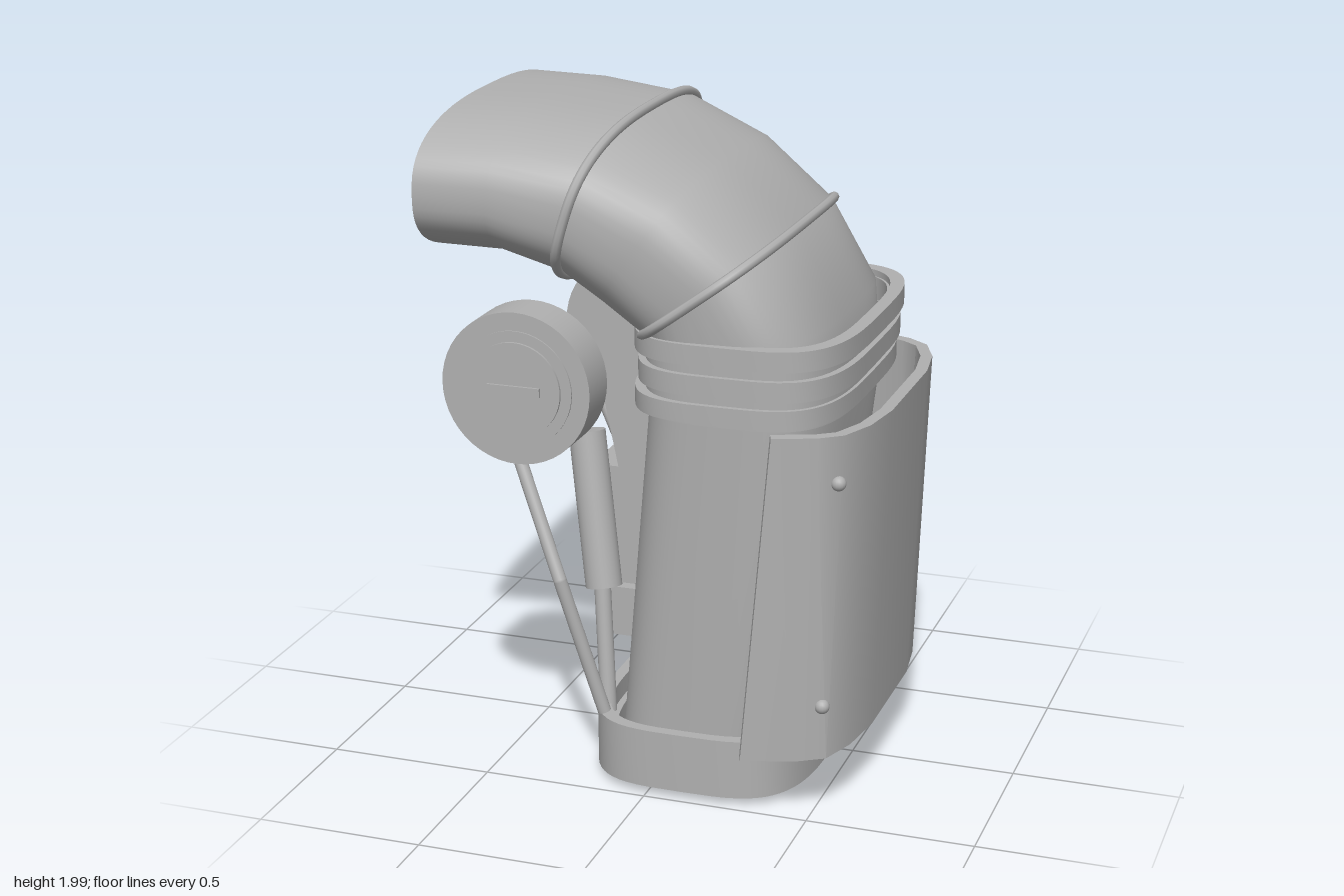
import * as THREE from 'three';
import { toCreasedNormals } from 'three/addons/utils/BufferGeometryUtils.js';

const metal = new THREE.MeshStandardMaterial({ color: 0xb0b0b0 });
metal.name = 'plain grey metal';
const V = (x, y, z) => new THREE.Vector3(x, y, z);

// Skin a list of equal-length closed sections; join last to first, or cap the ends
function loft(sections, joinEnds, crease = 0.6) {
  const n = sections[0].length, m = sections.length, pos = [], idx = [];
  sections.forEach(s => s.forEach(p => pos.push(p.x, p.y, p.z)));
  for (let i = 0; i < (joinEnds ? m : m - 1); i++) {
    for (let j = 0; j < n; j++) {
      const a = i * n + j, b = i * n + (j + 1) % n;
      const c = ((i + 1) % m) * n + j, d = ((i + 1) % m) * n + (j + 1) % n;
      idx.push(a, b, d, a, d, c);
    }
  }
  if (!joinEnds) {
    const e = (m - 1) * n;
    for (let j = 1; j < n - 1; j++) idx.push(0, j + 1, j, e, e + j, e + j + 1);
  }
  // Turn the faces outward if the enclosed volume comes out negative
  const at = k => V(pos[3 * k], pos[3 * k + 1], pos[3 * k + 2]);
  let vol = 0;
  for (let k = 0; k < idx.length; k += 3) vol += at(idx[k]).dot(at(idx[k + 1]).cross(at(idx[k + 2])));
  if (vol < 0) idx.reverse();
  const g = new THREE.BufferGeometry();
  g.setAttribute('position', new THREE.Float32BufferAttribute(pos, 3));
  g.setIndex(idx);
  return toCreasedNormals(g, crease);
}

// Rounded section between an outer and an inner bend point: [ox, oy, ix, iy, halfZ, power]
function section([ox, oy, ix, iy, hz, p], grow = 0, count = 64) {
  const c = V((ox + ix) / 2, (oy + iy) / 2, 0);
  const axis = V(ox - ix, oy - iy, 0), ha = axis.length() / 2 + grow;
  axis.normalize();
  const pts = [];
  for (let i = 0; i < count; i++) {
    const t = i / count * Math.PI * 2, ct = Math.cos(t), st = Math.sin(t);
    const u = Math.sign(ct) * Math.abs(ct) ** (2 / p) * ha;
    const w = Math.sign(st) * Math.abs(st) ** (2 / p) * (hz + grow);
    pts.push(c.clone().addScaledVector(axis, u).add(V(0, 0, w)));
  }
  return pts;
}

// Hollow duct with a wall thickness
const shell = (rows, wall) => loft([
  ...rows.map(r => section(r)),
  ...rows.slice().reverse().map(r => section(r, -wall))], true);

export function createModel() {
  const model = new THREE.Group();
  const add = (name, geo) => {
    const mesh = new THREE.Mesh(geo, metal);
    mesh.name = name;
    model.add(mesh);
    return mesh;
  };
  const rod = (name, a, b, r) => {
    const d = b.clone().sub(a);
    const mesh = add(name, new THREE.CylinderGeometry(r, r, d.length(), 24));
    mesh.position.copy(a).addScaledVector(d, 0.5);
    mesh.quaternion.setFromUnitVectors(V(0, 1, 0), d.normalize());
    return mesh;
  };
  const box = (name, x0, x1, y0, y1, z0, z1) => add(name,
    new THREE.BoxGeometry(x1 - x0, y1 - y0, z1 - z0))
    .position.set((x0 + x1) / 2, (y0 + y1) / 2, (z0 + z1) / 2);

  // Duct: wide mouth, elbow and leaning trunk
  const ringA = [-0.14, 1.965, -0.28, 1.515, 0.54, 2.7];
  const ringB = [0.335, 1.665, -0.07, 1.365, 0.5, 3];
  add('elbowDuct', shell([
    [-0.65, 2, -0.65, 1.575, 0.575, 2.6],
    [-0.42, 1.998, -0.45, 1.57, 0.56, 2.6],
    ringA,
    [0.12, 1.85, -0.18, 1.44, 0.52, 2.8],
    ringB,
    [0.48, 1.42, -0.05, 1.31, 0.475, 3.3],
    [0.5, 1.18, -0.06, 1.18, 0.47, 3.5],
    [0.37, 0.06, -0.162, 0.06, 0.43, 3.5]], 0.018));

  // Raised beads around the elbow
  for (const r of [ringA, ringB]) {
    const path = new THREE.CatmullRomCurve3(section(r, 0.006), true);
    add('elbowBead', new THREE.TubeGeometry(path, 128, 0.015, 8, true));
  }

  // Neck with three collars, and the base collar
  const collar = (name, x0, x1, y0, y1, hz, wall) =>
    add(name, shell([[x1, y0, x0, y0, hz, 3.6], [x1, y1, x0, y1, hz, 3.6]], wall));
  collar('neck', -0.07, 0.535, 1.17, 1.39, 0.482, 0.02);
  collar('neckCollar', -0.1, 0.565, 1.35, 1.41, 0.503, 0.04);
  collar('neckCollar', -0.09, 0.555, 1.26, 1.32, 0.498, 0.04);
  collar('neckCollar', -0.1, 0.545, 1.18, 1.235, 0.498, 0.04);
  collar('baseCollar', -0.23, 0.45, 0.03, 0.21, 0.487, 0.035);
  collar('baseInnerRing', -0.2, 0.42, 0.05, 0.15, 0.457, 0.025);

  // Inner core seen through the base
  rod('innerCore', V(0.1, 0.035, 0), V(0.03, 0.5, 0), 0.2);

  // Wrap-around shield: outer outline as [xTop, zTop, xBottom, zBottom] for one half
  const half = [[0.4, 0.555, 0.32, 0.57], [0.52, 0.51, 0.47, 0.525], [0.585, 0.46, 0.55, 0.475],
    [0.63, 0.35, 0.59, 0.36], [0.652, 0.2, 0.612, 0.2]];
  const outline = [...half, ...half.slice().reverse().map(([a, b, c, d]) => [a, -b, c, -d])];
  const strip = outline.map((p, i) => {
    const a = outline[Math.max(i - 1, 0)], b = outline[Math.min(i + 1, outline.length - 1)];
    const inward = V(b[1] - a[1], 0, -(b[0] - a[0])).normalize().multiplyScalar(0.036);
    const top = V(p[0], 1.18, p[1]), bottom = V(p[2], 0.2, p[3]);
    return [top, bottom, bottom.clone().add(inward), top.clone().add(inward)];
  });
  add('shield', loft(strip, false));

  // Shield bolts
  for (const s of [1, -1]) {
    for (const [x, y, z] of [[0.572, 1.04, 0.468], [0.538, 0.365, 0.483]]) {
      add('shieldBolt', new THREE.SphereGeometry(0.022, 16, 12)).position.set(x, y, s * z);
    }
  }

  // Gauges on both sides, each with a stepped face and a slot bar
  for (const [s, y, face] of [[1, 1.245, 0.55], [-1, 1.165, 0.56]]) {
    const gauge = new THREE.Group();
    gauge.name = s > 0 ? 'frontGauge' : 'backGauge';
    const disc = (name, r, z0, z1) => {
      const m = new THREE.Mesh(new THREE.CylinderGeometry(r, r, z1 - z0, 48), metal);
      m.name = name;
      m.rotation.x = Math.PI / 2;
      m.position.z = s * (z0 + z1) / 2;
      gauge.add(m);
    };
    disc('drum', 0.225, face - 0.14, face);
    disc('faceStep', 0.172, face - 0.01, face + 0.005);
    disc('faceBoss', 0.14, face - 0.01, face + 0.013);
    const bar = new THREE.Mesh(new THREE.BoxGeometry(0.16, 0.027, 0.012), metal);
    bar.name = 'slotBar';
    bar.position.z = s * (face + 0.015);
    gauge.add(bar);
    gauge.position.set(-0.36, y, 0);
    model.add(gauge);
  }

  // Bracket under the elbow
  const plate = new THREE.Shape([[-0.33, 1.48], [-0.25, 1.52], [-0.03, 1.38], [-0.07, 0.85], [-0.2, 0.85]]
    .map(([x, y]) => new THREE.Vector2(x, y)));
  add('bracket', new THREE.ExtrudeGeometry(plate, { depth: 0.26, bevelEnabled: false })).position.z = -0.13;

  // Control boxes
  box('upperBox', -0.355, -0.12, 0.45, 0.83, -0.28, -0.03);
  box('lowerBox', -0.34, -0.13, 0.26, 0.42, -0.24, -0.06);

  // Damper with its piston rod
  rod('damper', V(-0.28, 1.02, 0.2), V(-0.205, 0.56, 0.27), 0.055);
  rod('damperRod', V(-0.21, 0.57, 0.27), V(-0.175, 0.18, 0.32), 0.025);

  // Bent rods on both sides
  for (const [a, b, c] of [[0.37, 0.46, 0.41], [-0.3, -0.27, -0.28]]) {
    const top = V(-0.43, 0.98, a), bend = V(-0.27, 0.64, b), foot = V(-0.155, 0.22, c);
    rod('bentRodUpper', top, bend, 0.02);
    rod('bentRodLower', bend, foot, 0.02);
    add('bentRodJoint', new THREE.SphereGeometry(0.02, 16, 12)).position.copy(bend);
  }
  return model;
}
